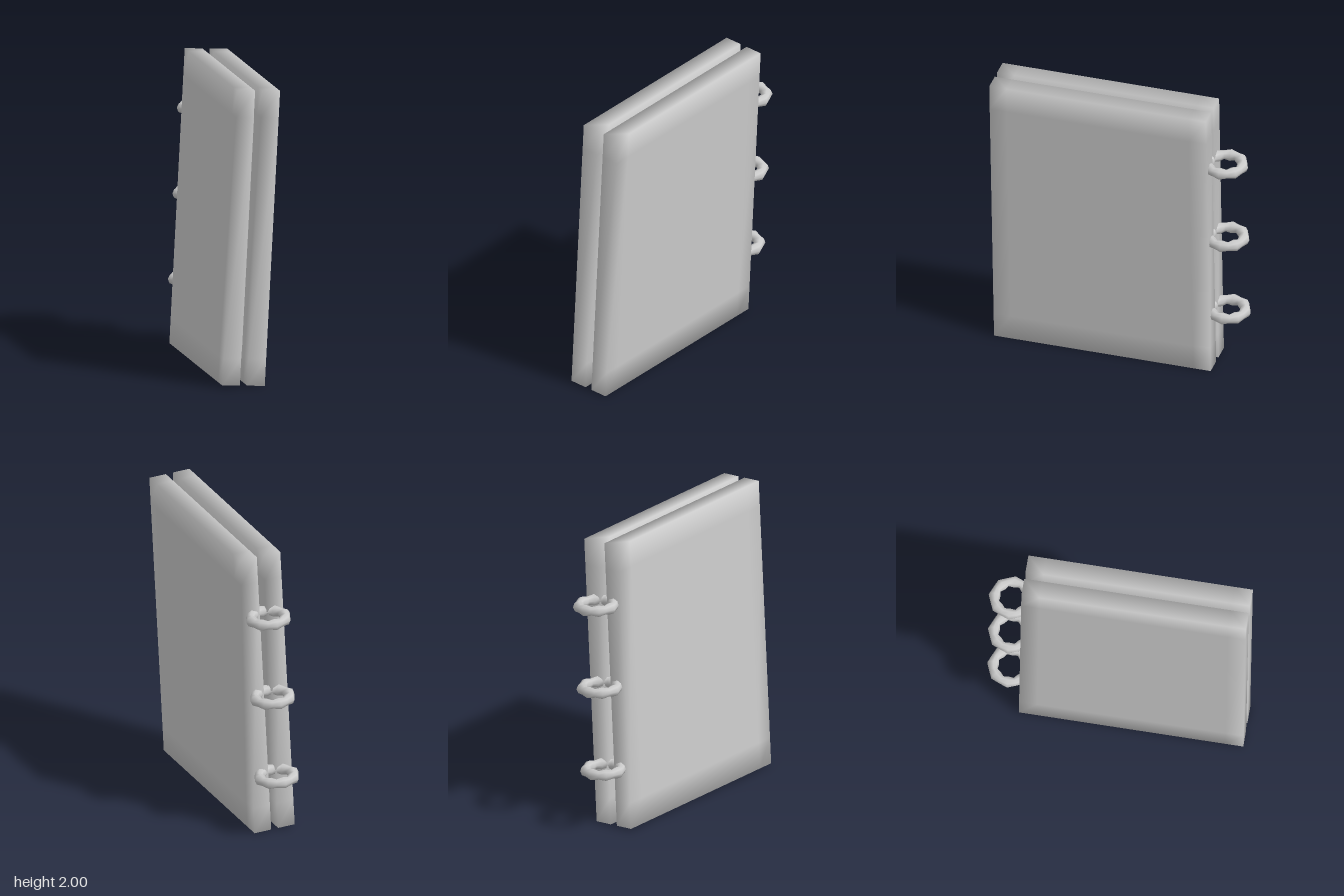
import * as THREE from 'three';
import { mergeVertices } from 'three/addons/utils/BufferGeometryUtils.js';

const HEIGHT = 1.987, DEPTH = 1.505, THICK = 0.12, GAP = 0.05;
const material = new THREE.MeshStandardMaterial({ color: 0xcccccc });

function addMesh(parent, name, geometry, x, y, z) {
  const mesh = new THREE.Mesh(geometry, material);
  mesh.name = name;
  mesh.position.set(x, y, z);
  parent.add(mesh);
  return mesh;
}

// Slab with an edge loop near each border and shared normals, for soft-looking edges
function coverGeometry() {
  let g = new THREE.BoxGeometry(THICK, HEIGHT, DEPTH, 1, 3, 3);
  const p = g.attributes.position;
  const inset = (v, size, border) =>
    Math.abs(v) < size * 0.4 ? Math.sign(v) * (size / 2 - border) : v;
  for (let i = 0; i < p.count; i++) {
    p.setY(i, inset(p.getY(i), HEIGHT, 0.18));
    p.setZ(i, inset(p.getZ(i), DEPTH, 0.12));
  }
  g.deleteAttribute('normal');
  g.deleteAttribute('uv');
  g = mergeVertices(g);
  g.computeVertexNormals();
  return g;
}

// Eight-sided binder ring, swollen at its corners and pinched between them
function ringGeometry() {
  const R = 0.117;
  let g = new THREE.TorusGeometry(R, 0.04, 8, 16);
  const p = g.attributes.position;
  for (let i = 0; i < p.count; i++) {
    const x = p.getX(i), y = p.getY(i);
    const angle = Math.atan2(y, x), step = Math.round(angle / (Math.PI / 8));
    if (step % 2 === 0) continue;
    const r = R + (Math.hypot(x, y) - R) * 0.72;
    p.setXYZ(i, Math.cos(angle) * r, Math.sin(angle) * r, p.getZ(i) * 0.75);
  }
  g.deleteAttribute('normal');
  g.deleteAttribute('uv');
  g = mergeVertices(g);
  g.computeVertexNormals();
  g.rotateX(Math.PI / 2);
  return g;
}

export function createModel() {
  const model = new THREE.Group();
  model.name = 'ringBinder';

  // Two covers, each with a thin raised panel on its inner face
  const cover = coverGeometry();
  const panel = new THREE.BoxGeometry(0.02, 1.6, 1.12);
  for (const [side, name] of [[1, 'left'], [-1, 'right']]) {
    addMesh(model, name + 'Cover', cover, side * (GAP + THICK) / 2, 0, 0.12);
    addMesh(model, name + 'InnerPanel', panel, side * (GAP / 2 - 0.01), 0, 0.12);
  }

  // Three rings along the spine
  const ring = ringGeometry();
  for (const y of [-0.577, 0, 0.577]) addMesh(model, 'ring', ring, 0, y, -0.715);

  // The whole binder leans slightly to its left
  model.rotation.z = -0.0525;
  model.position.y = 1;
  const root = new THREE.Group();
  root.name = 'binder';
  root.add(model);
  return root;
}
